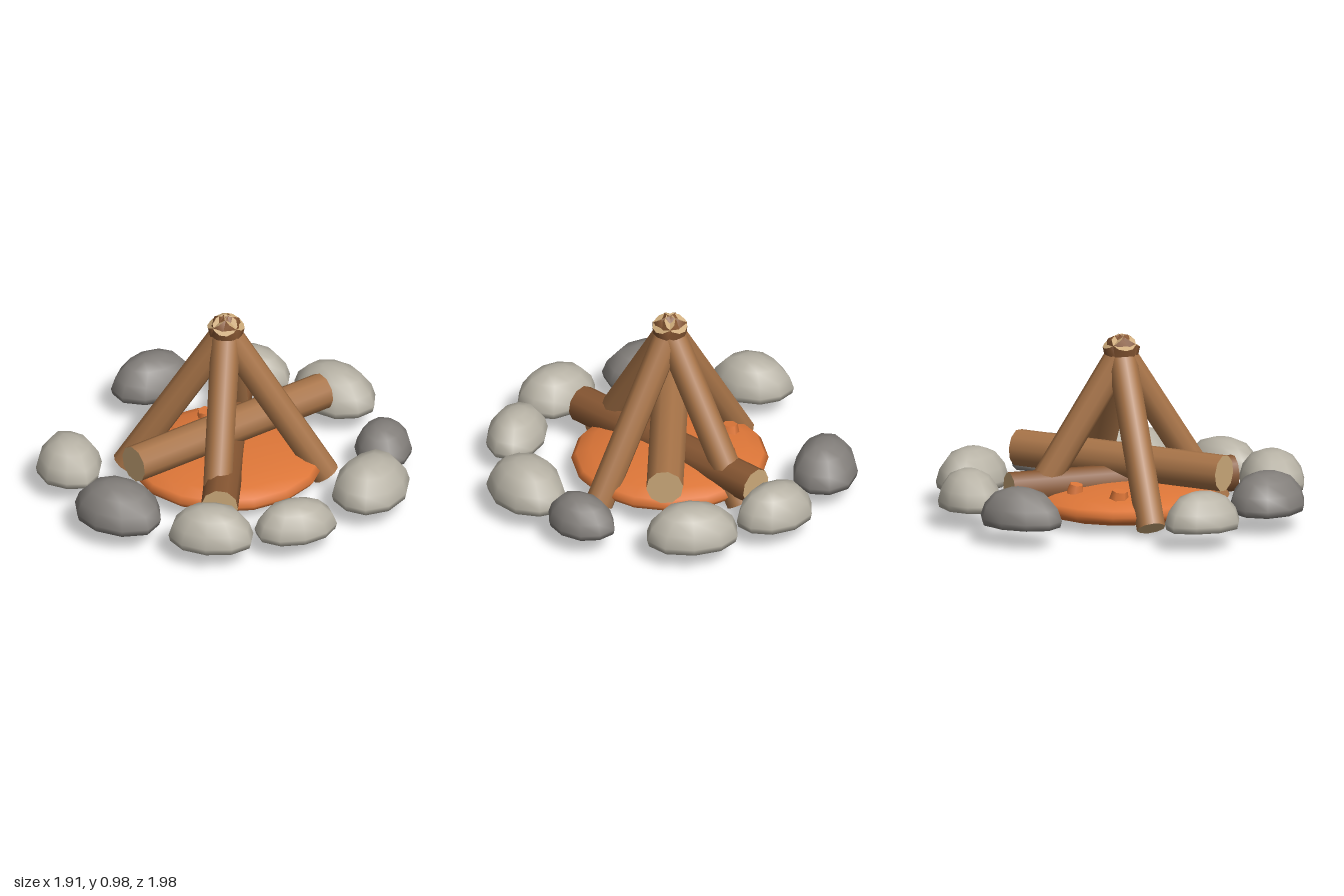
import * as THREE from 'three';
import { mergeVertices } from 'three/addons/utils/BufferGeometryUtils.js';

const mat = (name, color) => Object.assign(new THREE.MeshStandardMaterial({ color }), { name });

export function createModel() {
  const bark = mat('bark', 0xa87448);
  const darkBark = mat('dark bark', 0x865632);
  const cutWood = mat('cut wood', 0xccaa7a);
  const ember = mat('ember orange', 0xdd7638);
  const lightStone = mat('light stone', 0xb8b3a6);
  const darkStone = mat('dark stone', 0x84807c);

  const model = new THREE.Group();
  model.name = 'campfire';
  const cx = -0.08; // centre of the fire

  let seed = 7;
  const rand = () => (seed = (seed * 16807) % 2147483647) / 2147483647;

  const add = (name, geometry, material, parent = model) => {
    const mesh = new THREE.Mesh(geometry, material);
    mesh.name = name;
    parent.add(mesh);
    return mesh;
  };

  // Round log between two points, with pale cut ends
  const addLog = (name, a, b, rTop, rBottom, side) => {
    const dir = b.clone().sub(a);
    const geo = new THREE.CylinderGeometry(rTop, rBottom, dir.length(), 10);
    const mesh = add(name, geo, [side, cutWood, cutWood]);
    mesh.position.copy(a).add(b).multiplyScalar(0.5);
    mesh.quaternion.setFromUnitVectors(new THREE.Vector3(0, 1, 0), dir.normalize());
    return mesh;
  };

  // Glowing bed
  const bed = new THREE.SphereGeometry(0.52, 16, 10);
  bed.scale(1, 0.2, 1);
  add('emberBed', bed, ember).position.set(cx, 0.106, 0);

  // Loose embers on the bed
  for (const [x, y, z, s, turn] of [
    [-0.43, 0.19, 0.02, 0.055, 0.2], [-0.32, 0.2, -0.22, 0.05, 0.6], [-0.13, 0.215, -0.08, 0.045, 1],
  ]) {
    const chunk = add('looseEmber', new THREE.CylinderGeometry(s * 0.75, s, s, 6), ember);
    chunk.position.set(x, y, z);
    chunk.rotation.set(0.1, turn, 0.1);
  }

  // Two crossed logs lying on the bed
  const v = (x, y, z) => new THREE.Vector3(x, y, z);
  addLog('upperLog', v(-0.33, 0.3, 0.565), v(0.19, 0.3, -0.57), 0.098, 0.098, bark);
  addLog('lowerLog', v(-0.33, 0.185, -0.57), v(0.185, 0.185, 0.57), 0.098, 0.098, darkBark);

  // Four leaning poles crossing at the peak, each with a dark top rim
  const crossing = v(cx, 0.88, 0);
  for (const [dx, dz] of [[0.49, -0.2], [-0.49, 0.2], [0.2, 0.49], [-0.2, -0.49]]) {
    const foot = v(cx + dx, 0.05, dz);
    const dir = crossing.clone().sub(foot).normalize();
    const neck = crossing.clone().addScaledVector(dir, 0.035);
    addLog('leaningPole', foot, neck, 0.078, 0.076, bark);
    addLog('poleRim', neck, crossing.clone().addScaledVector(dir, 0.082), 0.066, 0.082, darkBark);
  }

  // Ring stones: flat base, domed top, uneven outline
  const profile = [[0, 0], [0.7, 0], [0.96, 0.03], [1, 0.2], [0.9, 0.52], [0.64, 0.84], [0.3, 0.98], [0, 1]]
    .map(([r, y]) => new THREE.Vector2(r, y));
  const makeStone = (long, short, height) => {
    let geo = new THREE.LatheGeometry(profile, 10);
    geo.deleteAttribute('normal');
    geo.deleteAttribute('uv');
    geo = mergeVertices(geo, 1e-4);
    const wobble = Array.from({ length: 10 }, () => 0.95 + rand() * 0.1);
    const p = geo.attributes.position;
    for (let i = 0; i < p.count; i++) {
      const x = p.getX(i), z = p.getZ(i);
      const k = wobble[(Math.round(Math.atan2(x, z) / (Math.PI / 5)) + 10) % 10];
      p.setXYZ(i, x * k * long, p.getY(i) * height, z * k * short);
    }
    geo.computeVertexNormals();
    return geo;
  };

  // x, z, half length, half width, height, turn, colour
  const stones = [
    [-0.765, -0.475, 0.235, 0.175, 0.2, 1.05, darkStone],
    [-0.355, -0.78, 0.225, 0.165, 0.2, 0.28, lightStone],
    [0.14, -0.81, 0.25, 0.175, 0.205, -0.3, lightStone],
    [0.62, -0.45, 0.2, 0.155, 0.175, -1.15, darkStone],
    [0.76, -0.055, 0.26, 0.195, 0.205, -1.45, lightStone],
    [0.59, 0.485, 0.225, 0.16, 0.18, 0.85, lightStone],
    [0.245, 0.77, 0.23, 0.175, 0.2, 0.3, lightStone],
    [-0.305, 0.79, 0.252, 0.2, 0.205, -0.15, darkStone],
    [-0.755, 0.485, 0.22, 0.175, 0.195, -0.9, lightStone],
  ];
  for (const [x, z, long, short, height, turn, material] of stones) {
    const stone = add('ringStone', makeStone(long, short, height), material);
    stone.position.set(x, 0.1, z);
    stone.rotation.y = turn;
  }

  return model;
}
